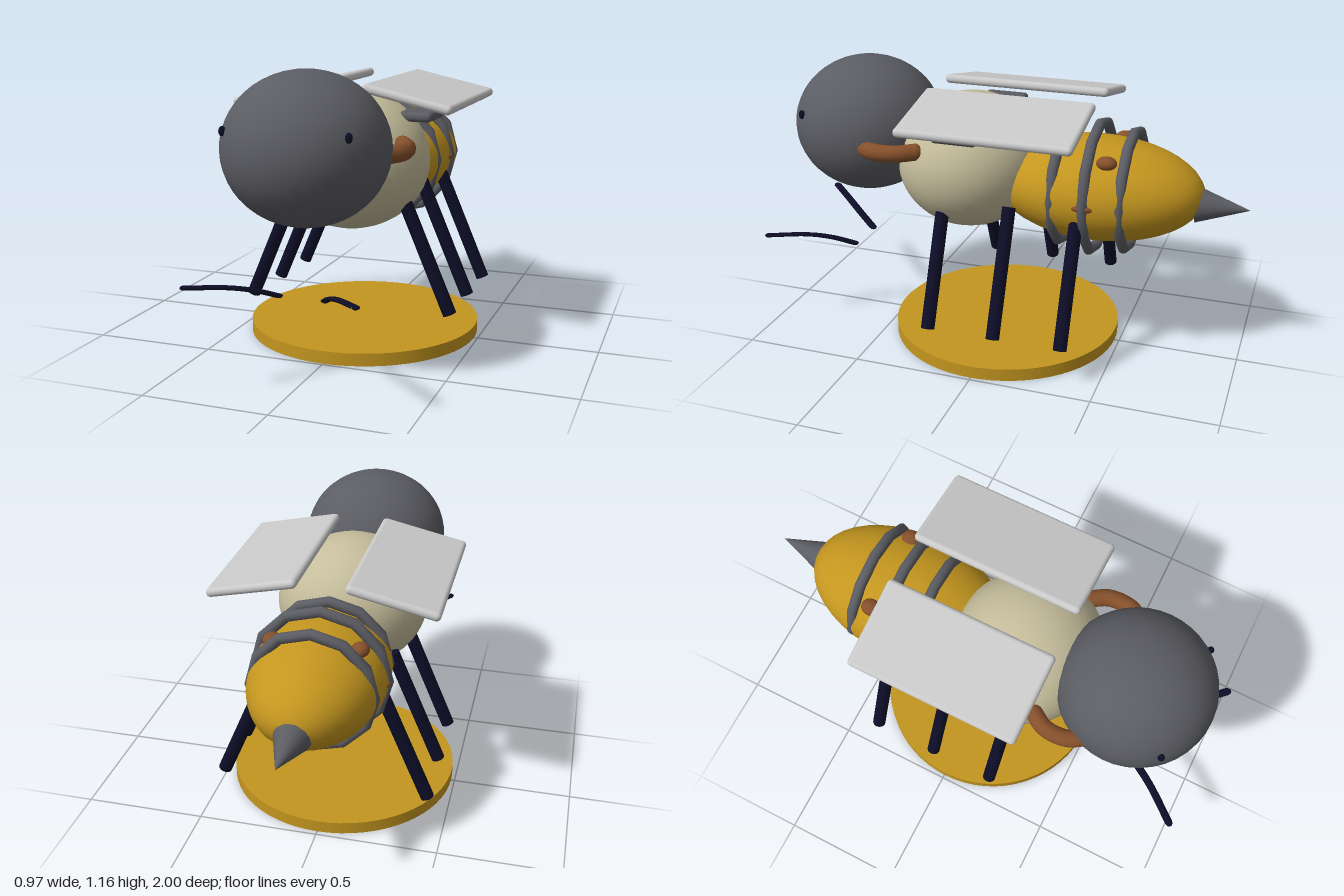
import * as THREE from 'three';
import { RoundedBoxGeometry } from 'three/addons/geometries/RoundedBoxGeometry.js';

const material = (name, color) => {
  const m = new THREE.MeshStandardMaterial({ color });
  m.name = name;
  return m;
};

export function createModel() {
  const gold = material('gold', 0xc4961f);
  const grey = material('dark grey', 0x5c5d63);
  const cream = material('cream', 0xc5bd9b);
  const silver = material('silver', 0xcacaca);
  const brown = material('brown', 0x85502b);
  const navy = material('navy', 0x0d0d28);

  const model = new THREE.Group();
  model.name = 'bee';

  const add = (name, geometry, mat, x = 0, y = 0, z = 0) => {
    const mesh = new THREE.Mesh(geometry, mat);
    mesh.name = name;
    mesh.position.set(x, y, z);
    model.add(mesh);
    return mesh;
  };
  const ellipsoid = (name, mat, [x, y, z], [rx, ry, rz], segments = 40) =>
    add(name, new THREE.SphereGeometry(1, segments, segments * 0.6), mat, x, y, z).scale.set(rx, ry, rz);

  // Round stand
  add('base', new THREE.CylinderGeometry(0.485, 0.485, 0.052, 64), gold, 0, 0.026, 0.005);

  // Body
  ellipsoid('head', grey, [0, 0.876, 0.63], [0.313, 0.287, 0.314]);
  ellipsoid('thorax', cream, [0, 0.762, 0.165], [0.32, 0.282, 0.308]);
  ellipsoid('abdomen', gold, [0, 0.7, -0.385], [0.27, 0.21, 0.435]);
  add('stinger', new THREE.ConeGeometry(0.073, 0.21, 24), grey, 0, 0.672, -0.895).rotation.x = -Math.PI / 2;

  // Bands around the abdomen
  for (const [z, radius] of [[-0.25, 0.241], [-0.385, 0.265], [-0.525, 0.241]]) {
    add('abdomenBand', new THREE.TorusGeometry(radius, 0.022, 10, 12), grey, 0, 0.702, z);
  }

  for (const [side, s] of [['left', 1], ['right', -1]]) {
    // Wings sloping down to their outer edge, with a short stub below
    add(side + 'Wing', new RoundedBoxGeometry(0.367, 0.037, 0.71, 4, 0.018), silver, s * 0.274, 1.028, -0.035)
      .rotation.z = -s * 0.215;
    add(side + 'WingStub', new RoundedBoxGeometry(0.22, 0.038, 0.19, 4, 0.018), grey, s * 0.235, 0.947, 0.117);

    // Legs
    const top = new THREE.Vector3(s * 0.222, 0.652, 0);
    const foot = new THREE.Vector3(s * 0.432, 0.162, 0);
    for (const z of [0.205, -0.075, -0.355]) {
      const leg = add(side + 'Leg', new THREE.CylinderGeometry(0.028, 0.028, top.distanceTo(foot), 12), navy);
      leg.position.addVectors(top, foot).multiplyScalar(0.5).setZ(z);
      leg.quaternion.setFromUnitVectors(new THREE.Vector3(0, 1, 0), top.clone().sub(foot).normalize());
    }

    // Curved cheek piece with rounded ends
    const ends = [[s * 0.265, 0.85, 0.537], [s * 0.262, 0.855, 0.31]];
    const cheek = new THREE.CatmullRomCurve3([
      new THREE.Vector3(...ends[0]),
      new THREE.Vector3(s * 0.302, 0.851, 0.47),
      new THREE.Vector3(s * 0.302, 0.853, 0.38),
      new THREE.Vector3(...ends[1]),
    ]);
    add(side + 'Cheek', new THREE.TubeGeometry(cheek, 20, 0.035, 12), brown);
    for (const end of ends) ellipsoid(side + 'CheekEnd', brown, end, [0.035, 0.035, 0.035], 15);

    // Eye and abdomen spots
    ellipsoid(side + 'Eye', navy, [s * 0.237, 0.954, 0.823], [0.014, 0.019, 0.014], 10);
    ellipsoid(side + 'UpperSpot', brown, [s * 0.17, 0.864, -0.455], [0.036, 0.027, 0.041], 20);
    ellipsoid(side + 'SideSpot', brown, [s * 0.245, 0.7, -0.385], [0.036, 0.02, 0.055], 20);

    // Flat curved feeler: a tube squashed in height, with closed ends
    const squash = 0.45;
    const points = [[0.092, 0.328, 0.69], [0.145, 0.367, 0.775], [0.21, 0.396, 0.86], [0.32, 0.42, 0.985]]
      .map(([x, y, z]) => new THREE.Vector3(s * x, y / squash, z));
    const feelerTube = new THREE.TubeGeometry(new THREE.CatmullRomCurve3(points), 20, 0.017, 8);
    add(side + 'Feeler', feelerTube, navy).scale.y = squash;
    for (const p of [points[0], points[3]]) {
      ellipsoid(side + 'FeelerEnd', navy, [p.x, p.y * squash, p.z], [0.015, 0.008, 0.015], 10);
    }
  }

  return model;
}
